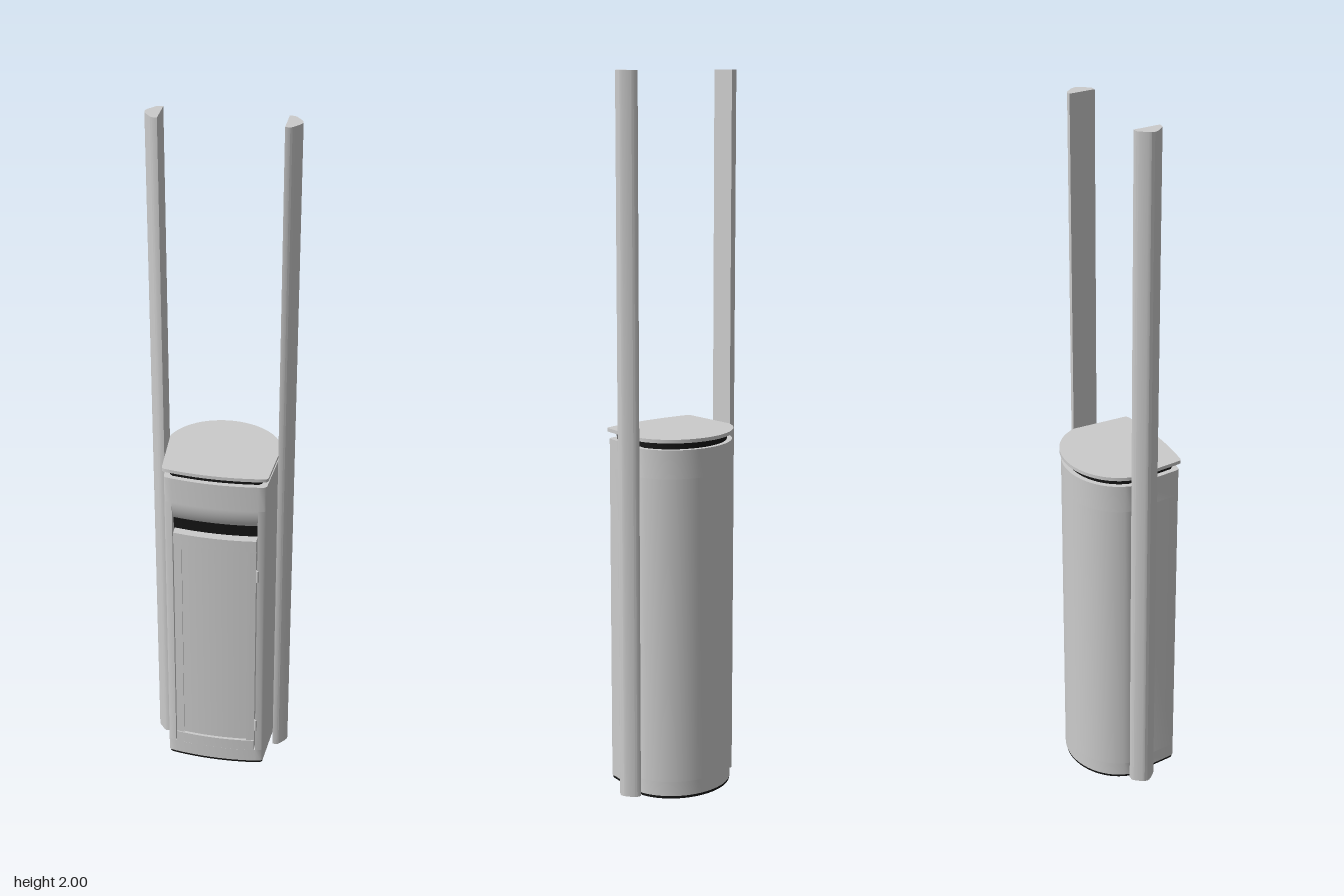
import * as THREE from 'three';
import { toCreasedNormals } from 'three/addons/utils/BufferGeometryUtils.js';
import { ParametricGeometry } from 'three/addons/geometries/ParametricGeometry.js';

const grey = new THREE.MeshStandardMaterial({ color: 0xcccccc });
const greySheet = new THREE.MeshStandardMaterial({ color: 0xcccccc, side: THREE.DoubleSide });
const black = new THREE.MeshStandardMaterial({ color: 0x141414 });

const NOTCH = 0.12; // half width of the opening in the front
const BODY_INSET = 0.004;

// Gently bowed front curve, moved inward by an inset
const frontZ = (x, inset = BODY_INSET) => 0.142 - inset - 0.6 * x * x;

// Vertical prism from plan points [x, z]
function prism(name, plan, y0, y1, material = grey) {
  const shape = new THREE.Shape(plan.map(([x, z]) => new THREE.Vector2(x, -z)));
  let geo = new THREE.ExtrudeGeometry(shape, { depth: y1 - y0, bevelEnabled: false });
  geo.rotateX(-Math.PI / 2).translate(0, y0, 0);
  geo = toCreasedNormals(geo, 0.6);
  const mesh = new THREE.Mesh(geo, material);
  mesh.name = name;
  return mesh;
}

// Plan of the bin: round back, tapering sides, bowed front, optionally notched
function outline(inset, notched = false) {
  const pts = [];
  const a0 = 0.258;
  for (let i = 0; i <= 24; i++) {
    const a = a0 + (Math.PI - 2 * a0) * i / 24;
    pts.push([(0.163 - inset) * Math.cos(a), -(0.145 - inset) * Math.sin(a)]);
  }
  const corner = [[0.147, 0.121], [0.1455, 0.126], [0.141, 0.13]]
    .map(([x, z]) => [x - inset, z - inset]);
  corner.forEach(([x, z]) => pts.push([-x, z]));
  if (notched) {
    pts.push([-NOTCH, frontZ(NOTCH, inset)], [-NOTCH, 0.1], [NOTCH, 0.1], [NOTCH, frontZ(NOTCH, inset)]);
  } else {
    for (let i = -5; i <= 5; i++) pts.push([i * 0.024, frontZ(i * 0.024, inset)]);
  }
  corner.reverse().forEach(([x, z]) => pts.push([x, z]));
  return pts;
}

// Slab following the front curve; offset moves its face outward
function slab(name, x0, x1, y0, y1, offset, material) {
  const pts = [[x0, 0.1], [x1, 0.1]];
  for (let i = 10; i >= 0; i--) {
    const x = x0 + (x1 - x0) * i / 10;
    pts.push([x, frontZ(x) + offset]);
  }
  return prism(name, pts.reverse(), y0, y1, material);
}

export function createModel() {
  const model = new THREE.Group();
  model.name = 'litterBin';

  // Shell: full plan below and above the front opening, notched between
  const body = new THREE.Group();
  body.name = 'body';
  body.add(
    prism('basePlate', outline(0.006), 0, 0.008, black),
    prism('bodyBottom', outline(BODY_INSET), 0.008, 0.05),
    prism('bodyMiddle', outline(BODY_INSET, true), 0.05, 0.92),
    prism('bodyTop', outline(BODY_INSET), 0.92, 1.0)
  );
  model.add(body);

  // Lid raised on a dark neck
  model.add(prism('neck', outline(0.018), 1.0, 1.02, black));
  model.add(prism('lid', outline(0), 1.02, 1.03));

  // Scooped panel curving in to the dark slot
  const scoopGeo = new ParametricGeometry((u, v, p) => {
    const x = (u - 0.5) * 2 * NOTCH;
    p.set(x, 0.86 + 0.06 * v, frontZ(x) - 0.018 * (1 - v) ** 2);
  }, 12, 10);
  const scoop = new THREE.Mesh(scoopGeo, greySheet);
  scoop.name = 'scoop';
  model.add(scoop);
  model.add(slab('slot', -NOTCH, NOTCH, 0.82, 0.862, -0.022, black));

  // Door: raised frame around a sunken panel, hinges on one edge
  const door = new THREE.Group();
  door.name = 'door';
  const w = 0.117, p = 0.094;
  door.add(
    slab('doorPanel', -p, p, 0.09, 0.785, -0.005),
    slab('topRail', -w, w, 0.785, 0.822, 0.003),
    slab('bottomRail', -w, w, 0.053, 0.09, 0.003)
  );
  for (const s of [-1, 1]) {
    door.add(slab('stile', Math.min(s * w, s * p), Math.max(s * w, s * p), 0.09, 0.785, 0));
  }
  for (const y of [0.15, 0.7]) {
    const hinge = new THREE.Mesh(new THREE.CylinderGeometry(0.004, 0.004, 0.04, 12), grey);
    hinge.name = 'hinge';
    hinge.position.set(0.121, y, 0.129);
    door.add(hinge);
  }
  model.add(door);

  // Tall posts with a blunt rounded outer edge
  const half = [[0.159, 0.037], [0.172, 0.037], [0.177, 0.034], [0.193, 0.015], [0.197, 0.008]];
  const plan = [...half, [0.199, 0], ...half.map(([x, z]) => [x, -z]).reverse()];
  for (const s of [-1, 1]) {
    model.add(prism(s > 0 ? 'leftPost' : 'rightPost', plan.map(([x, z]) => [s * x, z]), 0, 2));
  }
  return model;
}
